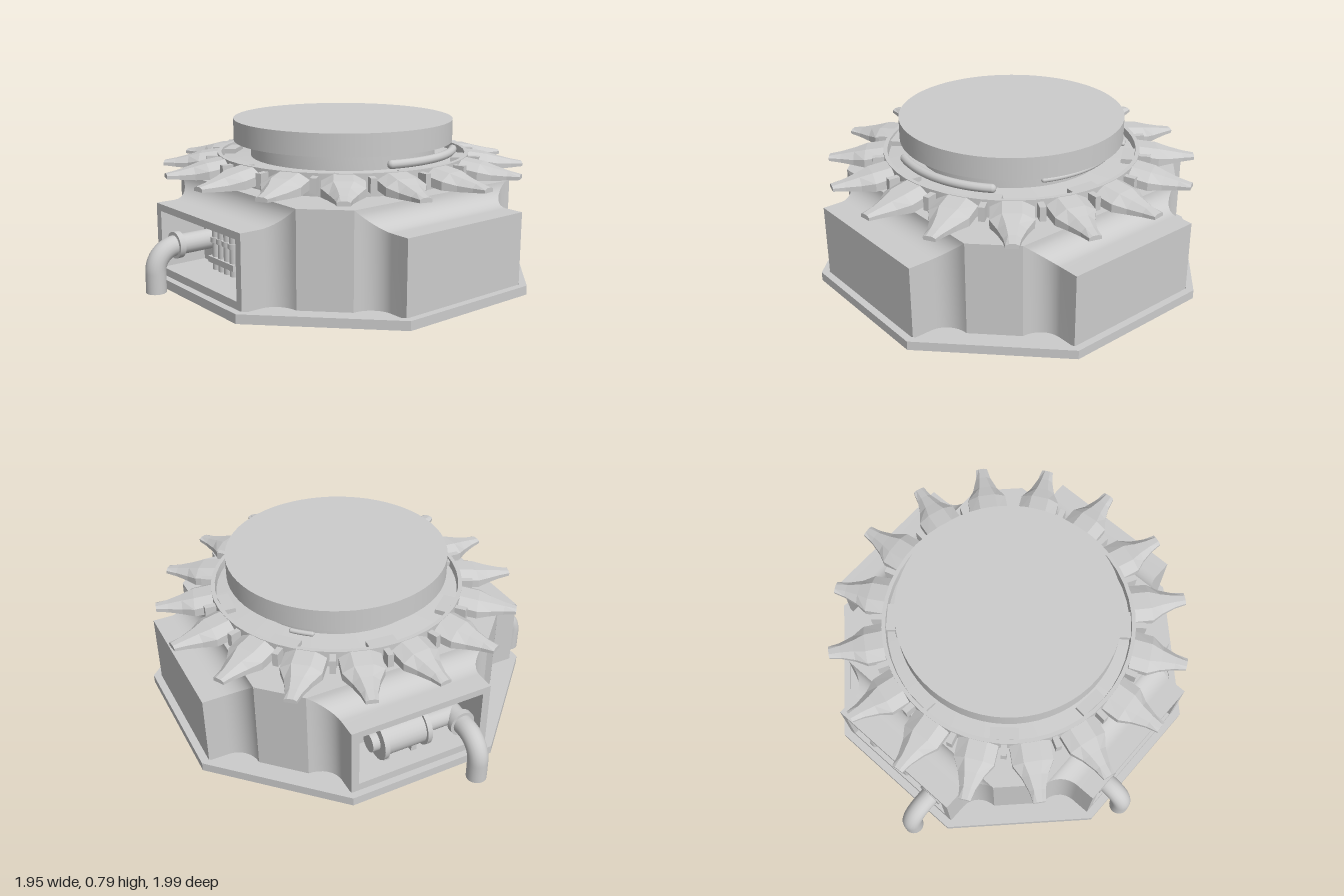
import * as THREE from 'three';
import { toCreasedNormals } from 'three/addons/utils/BufferGeometryUtils.js';

const mat = new THREE.MeshStandardMaterial({ color: 0xcccccc, side: THREE.DoubleSide });
const flat = new THREE.MeshStandardMaterial({ color: 0xcccccc, side: THREE.DoubleSide, flatShading: true });

function add(parent, name, geo, x = 0, y = 0, z = 0, material = mat) {
  const m = new THREE.Mesh(geo, material);
  m.name = name;
  m.position.set(x, y, z);
  parent.add(m);
  return m;
}
const box = (w, h, d) => new THREE.BoxGeometry(w, h, d);
const cyl = (r, h, n = 24) => new THREE.CylinderGeometry(r, r, h, n);

// Skin a list of equally long rows of [x, y, z] points
function skin(rows) {
  const n = rows[0].length, index = [];
  for (let i = 0; i < rows.length - 1; i++) {
    for (let j = 0; j < n - 1; j++) {
      const a = i * n + j, b = a + n;
      index.push(a, b, a + 1, a + 1, b, b + 1);
    }
  }
  const g = new THREE.BufferGeometry();
  g.setAttribute('position', new THREE.Float32BufferAttribute(rows.flat(2), 3));
  g.setIndex(index);
  g.computeVertexNormals();
  return g;
}

// Bay sections from the core wall outwards: depth, half width, height
const CORE = 0.67, DEPTH = 0.88, HALF = 0.37, TOP = 0.4, FLOOR = 0.035;
const sections = [];
for (let i = 0; i <= 8; i++) {
  const a = (i / 8) * Math.PI / 2;
  sections.push([CORE + 0.11 * (1 - Math.cos(a)), 0.49 - 0.12 * Math.sin(a), 0.5 - 0.1 * Math.sin(a)]);
}
sections.push([DEPTH, HALF, TOP]);

// Ground outline of the housing, four bays joined by chamfers
function planPoints() {
  const side = [...sections.map(([d, w]) => [w, d]).reverse()];
  const bay = [...side.map(([w, d]) => [-w, d]).reverse(), ...side];
  const pts = [];
  for (let k = 0; k < 4; k++) {
    const c = Math.round(Math.cos(k * Math.PI / 2)), s = Math.round(Math.sin(k * Math.PI / 2));
    for (const [x, y] of bay) pts.push(new THREE.Vector2(x * c + y * s, y * c - x * s));
  }
  return pts;
}
function octagon(half) {
  return Array.from({ length: 8 }, (_, i) => {
    const a = (i + 0.5) * Math.PI / 4, r = half / Math.cos(Math.PI / 8);
    return new THREE.Vector2(r * Math.cos(a), r * Math.sin(a));
  });
}
function slab(outer, hole, h) {
  const s = new THREE.Shape(outer);
  s.holes.push(new THREE.Path(hole));
  return new THREE.ExtrudeGeometry(s, { depth: h, bevelEnabled: false }).rotateX(-Math.PI / 2);
}

// One bay, outward along +z, closed or with an open recess
function makeBay(name, open) {
  const bay = new THREE.Group();
  bay.name = name;
  for (const s of [-1, 1]) {
    add(bay, 'baySide', skin(sections.map(([d, w, h]) => s < 0
      ? [[-w, FLOOR, d], [-w, h, d]] : [[w, h, d], [w, FLOOR, d]])));
  }
  add(bay, 'bayTop', skin(sections.map(([d, w, h]) => [[-w, h, d], [w, h, d]])));
  const face = new THREE.Shape([[-HALF, FLOOR], [HALF, FLOOR], [HALF, TOP], [-HALF, TOP]].map(p => new THREE.Vector2(...p)));
  if (open) {
    face.holes.push(new THREE.Path([[-0.33, 0.08], [-0.33, 0.365], [0.33, 0.365], [0.33, 0.08]].map(p => new THREE.Vector2(...p))));
    const recess = box(0.66, 0.285, 0.24);
    recess.setIndex([...recess.index.array].filter((_, i) => i < 24 || i > 29)); // no outer side
    add(bay, 'recess', recess, 0, 0.2225, DEPTH - 0.12);
  }
  add(bay, 'bayFace', new THREE.ShapeGeometry(face), 0, 0, DEPTH);
  return bay;
}

// Elbow pipe from the recess out and down to the ground
function addPipe(bay, x, d, inner) {
  const v = (y, z) => new THREE.Vector3(x, y, z);
  const path = new THREE.CurvePath();
  path.add(new THREE.LineCurve3(v(0.215, inner), v(0.215, d - 0.12)));
  path.add(new THREE.CubicBezierCurve3(v(0.215, d - 0.12), v(0.215, d - 0.05), v(0.165, d), v(0.1, d)));
  path.add(new THREE.LineCurve3(v(0.1, d), v(0, d)));
  add(bay, 'elbowPipe', new THREE.TubeGeometry(path, 40, 0.05, 20));
  add(bay, 'pipeEnd', new THREE.CircleGeometry(0.05, 20).rotateX(Math.PI / 2), x, 0.001, d);
  add(bay, 'pipeFlange', cyl(0.066, 0.03).rotateX(Math.PI / 2), x, 0.215, DEPTH - 0.02);
}

// Pointed plate, outward along +z: radius, half width, top, edge, bottom
function spikeGeometry() {
  const rings = [
    [0.635, 0.1, 0.62, 0.59, 0.545], [0.73, 0.1, 0.607, 0.575, 0.535],
    [0.79, 0.065, 0.59, 0.56, 0.532], [0.86, 0.04, 0.573, 0.555, 0.535], [0.92, 0.03, 0.562, 0.555, 0.54],
  ].map(([r, w, t, e, b]) => [[-w, b, r], [-w, e, r], [-w * 0.45, t, r], [w * 0.45, t, r], [w, e, r], [w, b, r], [-w, b, r]]);
  const cap = ring => ring.map(() => [0, (ring[0][1] + ring[2][1]) / 2, ring[0][2]]);
  return skin([cap(rings[0]), ...rings, cap(rings[4])]);
}

export function createModel() {
  const model = new THREE.Group();
  model.name = 'spikedTurretBase';
  model.position.set(0.05, 0, 0.07);
  const root = new THREE.Group();
  root.name = 'turretBase';
  root.add(model);

  // Octagonal foot with a raised rim
  add(model, 'footRim', slab(octagon(0.92), octagon(0.885), 0.045));
  add(model, 'footPlate', slab(octagon(0.885), planPoints(), 0.036));

  // Housing: four bays, chamfered corners and roof
  const bays = ['frontBay', 'leftBay', 'backBay', 'rightBay'].map((name, k) => {
    const bay = makeBay(name, k > 1);
    bay.rotation.y = k * Math.PI / 2;
    model.add(bay);
    const corner = new THREE.Group();
    corner.name = 'corner';
    corner.rotation.y = (k + 0.5) * Math.PI / 2;
    add(corner, 'cornerWall', box(0.2546, 0.465, 0.01), 0, 0.2675, 0.815);
    add(corner, 'innerAccessBox', box(0.17, 0.18, 0.05), 0, 0.25, 0.79);
    model.add(corner);
    return bay;
  });
  const roof = new THREE.Shape([[0.49, 0.67], [0.67, 0.49], [0.67, -0.49], [0.49, -0.67],
    [-0.49, -0.67], [-0.67, -0.49], [-0.67, 0.49], [-0.49, 0.67]].map(p => new THREE.Vector2(...p)));
  roof.holes.push(new THREE.Path().absarc(0, 0, 0.57, 0, Math.PI * 2));
  add(model, 'roof', new THREE.ShapeGeometry(roof, 32).rotateX(-Math.PI / 2), 0, 0.5, 0);

  // Back bay: banded motor and drain pipe
  const back = bays[2];
  addPipe(back, 0.23, 1.02, 0.76);
  add(back, 'motor', cyl(0.085, 0.24).rotateZ(Math.PI / 2), -0.06, 0.215, 0.78);
  for (const x of [-0.18, 0.05]) add(back, 'motorBand', cyl(0.1, 0.025).rotateZ(Math.PI / 2), x, 0.215, 0.78);
  add(back, 'motorShaft', cyl(0.05, 0.46).rotateZ(Math.PI / 2), 0, 0.215, 0.78);
  for (const x of [-0.14, 0.01]) add(back, 'motorMount', box(0.03, 0.14, 0.12), x, 0.145, 0.74);

  // Right bay: drain pipe, valve stack and control panel
  const right = bays[3];
  addPipe(right, -0.22, 0.98, 0.66);
  for (let i = 0; i < 4; i++) {
    add(right, 'valve', cyl(0.022, 0.2, 12), -0.08 + i * 0.05, 0.2, 0.72);
    add(right, 'valveCap', cyl(0.03, 0.025, 12), -0.08 + i * 0.05, 0.25, 0.72);
  }
  add(right, 'valveRail', box(0.22, 0.03, 0.06), -0.005, 0.15, 0.72);
  add(right, 'controlPanel', box(0.13, 0.14, 0.03), 0.2, 0.23, 0.66);
  add(right, 'panelBox', box(0.08, 0.05, 0.05), 0.2, 0.25, 0.68);

  // Collar, raised ring and neck
  const profile = [[0.58, 0.5], [0.58, 0.54], [0.64, 0.54], [0.64, 0.622], [0.62, 0.622],
    [0.615, 0.585], [0.47, 0.6], [0.47, 0.68]].map(p => new THREE.Vector2(...p));
  add(model, 'collarAndNeck', toCreasedNormals(new THREE.LatheGeometry(profile, 48), 0.5));
  add(model, 'topDrum', cyl(0.557, 0.11, 64), 0, 0.735, 0);

  // Crown of spikes with posts between them
  const crown = new THREE.Group();
  crown.name = 'spikeCrown';
  model.add(crown);
  const spike = spikeGeometry();
  for (let i = 0; i < 16; i++) {
    const turn = Math.PI / 2 + 0.098 - i * Math.PI / 8;
    add(crown, 'spike', spike, 0, 0, 0, flat).rotation.y = turn;
    const gap = new THREE.Group();
    gap.name = 'spikeGap';
    gap.rotation.y = turn + Math.PI / 16;
    add(gap, 'post', box(0.03, 0.07, 0.06), 0, 0.575, 0.665);
    if (i % 2) add(gap, 'ringClip', box(0.14, 0.025, 0.06), 0, 0.6, 0.585);
    crown.add(gap);
  }

  // Curved hoses around the neck: radius, start, end, height, thickness
  for (const [r, a, b, y, t] of [[0.56, 0.85, 1.85, 0.64, 0.021], [0.51, -0.4, 0.4, 0.65, 0.012], [0.555, -0.9, -0.72, 0.655, 0.012]]) {
    const pts = Array.from({ length: 13 }, (_, i) => {
      const q = a + (b - a) * i / 12;
      return new THREE.Vector3(r * Math.cos(q), y, r * Math.sin(q));
    });
    add(model, 'hose', new THREE.TubeGeometry(new THREE.CatmullRomCurve3(pts), 32, t, 12));
    for (const p of [pts[0], pts[12]]) add(model, 'hoseEnd', new THREE.SphereGeometry(t, 12, 8), p.x, p.y, p.z);
  }
  return root;
}
